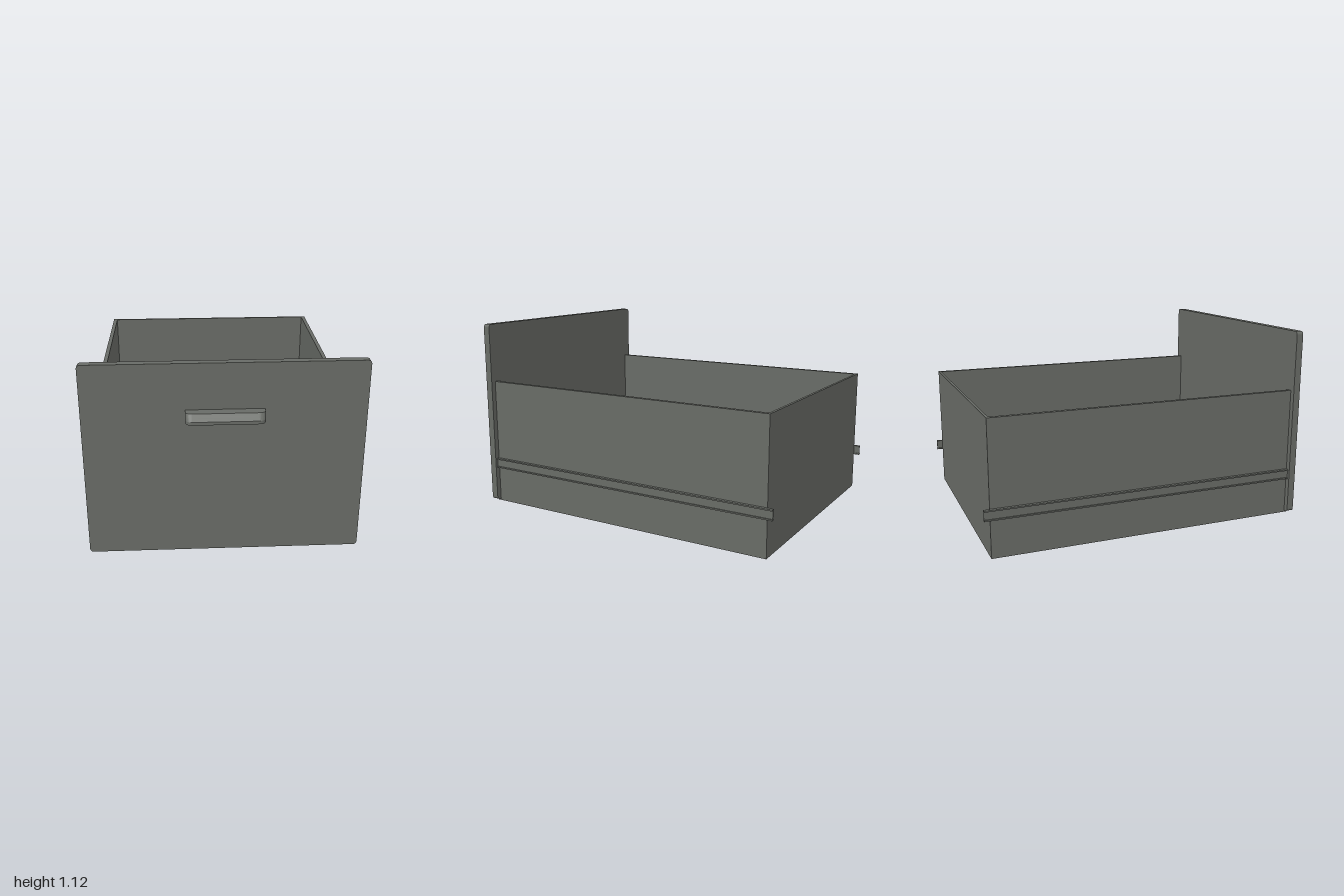
import * as THREE from 'three';

export function createModel() {
  const model = new THREE.Group();
  const grey = new THREE.MeshStandardMaterial({ color: 0x686b66 });
  grey.name = 'warm grey';

  const add = (name, geometry) => {
    const mesh = new THREE.Mesh(geometry, grey);
    mesh.name = name;
    model.add(mesh);
    return mesh;
  };

  // Box given by its limits on each axis
  const block = (name, [x0, x1], [y0, y1], [z0, z1]) =>
    add(name, new THREE.BoxGeometry(x1 - x0, y1 - y0, z1 - z0))
      .position.set((x0 + x1) / 2, (y0 + y1) / 2, (z0 + z1) / 2);

  // Front panel with slightly rounded corners
  const w = 0.75, y0 = 0.01, y1 = 1.125, r = 0.02;
  const panel = new THREE.Shape();
  panel.absarc(w - r, y0 + r, r, -Math.PI / 2, 0);
  panel.absarc(w - r, y1 - r, r, 0, Math.PI / 2);
  panel.absarc(-w + r, y1 - r, r, Math.PI / 2, Math.PI);
  panel.absarc(-w + r, y0 + r, r, Math.PI, Math.PI * 1.5);
  add('frontPanel', new THREE.ExtrudeGeometry(panel, { depth: 0.042, bevelEnabled: false, curveSegments: 6 }))
    .position.z = 0.88;

  // Open drawer box
  block('bottom', [-0.72, 0.72], [0, 0.022], [-0.965, 0.9]);
  block('backWall', [-0.695, 0.695], [0.022, 0.77], [-0.965, -0.95]);
  block('leftWall', [0.695, 0.72], [0.022, 0.77], [-0.965, 0.88]);
  block('rightWall', [-0.72, -0.695], [0.022, 0.77], [-0.965, 0.88]);

  // I-section runners, one on each side
  const half = [[-0.01, 0.03], [-0.01, 0.022], [-0.003, 0.022]];
  const mirrorY = (pts) => pts.map(([x, y]) => [x, -y]).reverse();
  const mirrorX = (pts) => pts.map(([x, y]) => [-x, y]).reverse();
  const side = [...half, ...mirrorY(half)];
  const section = new THREE.Shape([...side, ...mirrorX(side)].map(([x, y]) => new THREE.Vector2(x, y)));
  for (const [name, s] of [['leftRunner', 1], ['rightRunner', -1]]) {
    add(name, new THREE.ExtrudeGeometry(section, { depth: 1.88, bevelEnabled: false }))
      .position.set(s * 0.729, 0.25, -1);
  }

  // Handle: rounded outline seen from above, with the upper front sloping back
  const hw = 0.208, reach = 0.08, hr = 0.035, height = 0.053;
  const outline = new THREE.Shape();
  outline.moveTo(-hw, 0);
  outline.lineTo(hw, 0);
  outline.absarc(hw - hr, reach - hr, hr, 0, Math.PI / 2);
  outline.absarc(-hw + hr, reach - hr, hr, Math.PI / 2, Math.PI);
  const handle = new THREE.ExtrudeGeometry(outline, { depth: height, steps: 3, bevelEnabled: false, curveSegments: 8 });
  const p = handle.attributes.position;
  for (let i = 0; i < p.count; i++) {
    const slope = Math.max(0, 1 - p.getZ(i) / (height * 2 / 3));
    p.setY(i, p.getY(i) * (1 - 0.32 * slope));
  }
  handle.rotateX(Math.PI / 2);
  handle.computeVertexNormals();
  add('handle', handle).position.set(0, 0.868, 0.92);

  return model;
}
